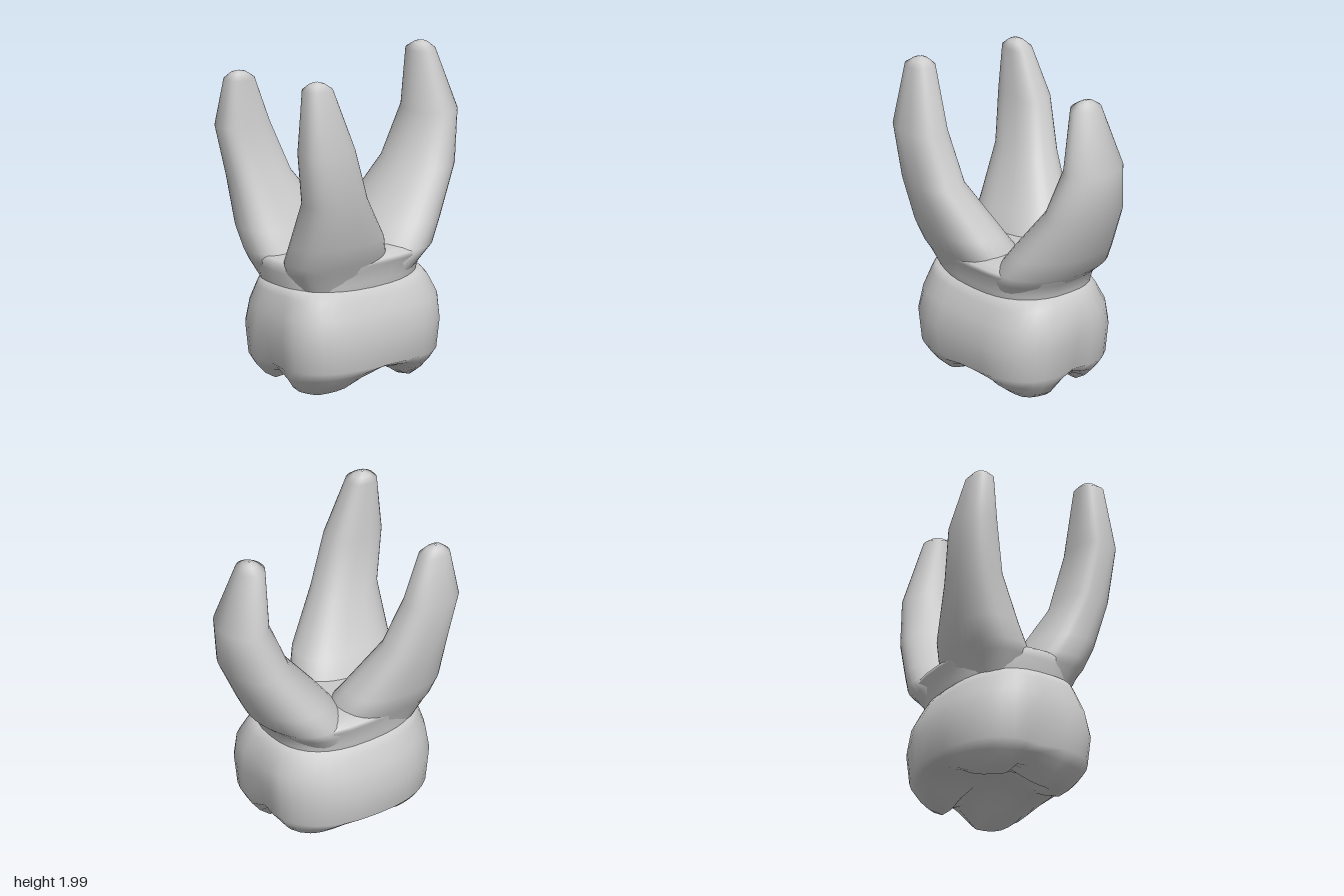
import * as THREE from 'three';

const SEG = 36;
const material = new THREE.MeshStandardMaterial({ color: 0xcccccc });

// Rounded cross-section point inside the bounds x0..x1, z0..z1
function ringPoint(angle, x0, x1, z0, z1, power) {
  const round = v => Math.sign(v) * Math.abs(v) ** (2 / power);
  return [
    (x0 + x1) / 2 + (x1 - x0) / 2 * round(Math.cos(angle)),
    (z0 + z1) / 2 + (z1 - z0) / 2 * round(Math.sin(angle)),
  ];
}

// Skin over rings [y, x0, x1, z0, z1] listed from bottom to top;
// the two powers set how square the left (+x) and right halves are
function loft(name, rings, [leftPower, rightPower], shape = (x, y, z) => [x, y, z]) {
  const positions = [], index = [];
  rings.forEach(([y, ...bounds], r) => {
    for (let i = 0; i < SEG; i++) {
      const angle = i / SEG * Math.PI * 2;
      const [x, z] = ringPoint(angle, ...bounds, Math.cos(angle) > 0 ? leftPower : rightPower);
      positions.push(...shape(x, y, z));
      if (r === rings.length - 1) continue;
      const a = r * SEG + i, b = r * SEG + (i + 1) % SEG;
      index.push(a, a + SEG, b, b, a + SEG, b + SEG);
    }
  });
  const geometry = new THREE.BufferGeometry();
  geometry.setAttribute('position', new THREE.Float32BufferAttribute(positions, 3));
  geometry.setIndex(index);
  geometry.computeVertexNormals();
  const mesh = new THREE.Mesh(geometry, material);
  mesh.name = name;
  return mesh;
}

const bell = (v, width) => Math.exp(-((v / width) ** 2));

function crown() {
  // Chewing surface: central pit rising over a rounded rim, [scale, y]
  const under = [
    [0.01, 0.2], [0.18, 0.18], [0.34, 0.13], [0.5, 0.055],
    [0.62, 0.01], [0.73, 0.005], [0.84, 0.05], [0.93, 0.11],
  ].map(([s, y]) => [y, -0.455 * s, 0.455 * s, 0.12 - 0.54 * s, 0.12 + 0.54 * s]);
  const walls = [
    [0.18, -0.455, 0.455, -0.42, 0.66],
    [0.36, -0.47, 0.47, -0.44, 0.68],
    [0.5, -0.435, 0.435, -0.44, 0.665],
    [0.59, -0.385, 0.385, -0.39, 0.63],
    [0.64, -0.36, 0.36, -0.35, 0.61],
    [0.65, -0.3, 0.3, -0.3, 0.55],
  ];
  return loft('crown', [...under, ...walls], [3.3, 2.4], (x, y, z) => {
    // fissures between the four cusps; the right cusps are a little shorter
    const fissure = Math.max(bell(x + 0.03, 0.06), bell(z - 0.08, 0.17));
    const shorter = x < 0 ? 0.2 : 0.08;
    const outward = Math.max(0, Math.abs(x) - 0.24) * 1.6;
    const lift = Math.min(0.95, 0.75 * fissure + shorter + outward) * Math.max(0, 0.17 - y);
    // groove down the middle of the front and back walls
    const groove = bell(x + 0.02, 0.08) * Math.min(0.3, Math.max(0, 0.55 - y)) * 0.13
      * Math.min(1, Math.abs(z - 0.12) / 0.4);
    // neck line arches up at the front and back
    const arch = y > 0.55 ? 0.1 * (z - 0.12) ** 2 : 0;
    return [x, y + lift + arch - 0.012 * bell(y, 0.1), z - Math.sign(z - 0.12) * groove];
  });
}

export function createModel() {
  const model = new THREE.Group();
  model.name = 'molarTooth';
  model.add(crown());

  // Trunk above the neck, ending in a low saddle between the roots
  model.add(loft('rootTrunk', [
    [0.58, -0.34, 0.34, -0.33, 0.59],
    [0.68, -0.36, 0.36, -0.35, 0.61],
    [0.75, -0.365, 0.365, -0.38, 0.617],
    [0.79, -0.39, 0.39, -0.42, 0.62],
    [0.815, -0.385, 0.385, -0.42, 0.6],
    [0.835, -0.35, 0.35, -0.3, 0.42],
    [0.85, -0.3, 0.3, -0.1, 0.15],
    [0.855, -0.01, 0.01, 0, 0.02],
  ], [2.6, 2.5]));

  // Front roots, blade-like at the base and tapering to blunt tips
  model.add(loft('leftFrontRoot', [
    [0.62, 0.02, 0.31, 0, 0.53],
    [0.76, -0.01, 0.365, -0.02, 0.613],
    [0.82, -0.005, 0.405, -0.02, 0.63],
    [0.95, 0.075, 0.455, 0.04, 0.645],
    [1.24, 0.23, 0.52, 0.24, 0.65],
    [1.57, 0.28, 0.53, 0.35, 0.71],
    [1.95, 0.29, 0.45, 0.48, 0.66],
    [1.98, 0.32, 0.41, 0.52, 0.62],
    [2, 0.36, 0.37, 0.57, 0.58],
  ], [2.5, 2.6]));
  model.add(loft('rightFrontRoot', [
    [0.62, -0.31, -0.02, 0, 0.53],
    [0.76, -0.365, 0.01, -0.02, 0.613],
    [0.82, -0.405, 0.005, -0.02, 0.63],
    [0.95, -0.455, -0.075, 0.04, 0.645],
    [1.24, -0.5, -0.22, 0.24, 0.65],
    [1.55, -0.53, -0.3, 0.35, 0.7],
    [1.84, -0.465, -0.32, 0.47, 0.66],
    [1.875, -0.43, -0.35, 0.52, 0.62],
    [1.89, -0.395, -0.385, 0.57, 0.58],
  ], [2.6, 2.4]));

  // Broad back root, leaning out and then curving upright
  model.add(loft('backRoot', [
    [0.62, -0.3, 0.3, -0.28, 0.15],
    [0.75, -0.36, 0.36, -0.38, 0.1],
    [0.82, -0.375, 0.375, -0.46, 0.06],
    [0.95, -0.34, 0.34, -0.53, -0.04],
    [1.24, -0.26, 0.26, -0.67, -0.28],
    [1.55, -0.2, 0.2, -0.71, -0.41],
    [1.92, -0.1, 0.1, -0.58, -0.41],
    [1.955, -0.05, 0.05, -0.54, -0.46],
    [1.97, -0.005, 0.005, -0.505, -0.495],
  ], [1.9, 2]));
  return model;
}
